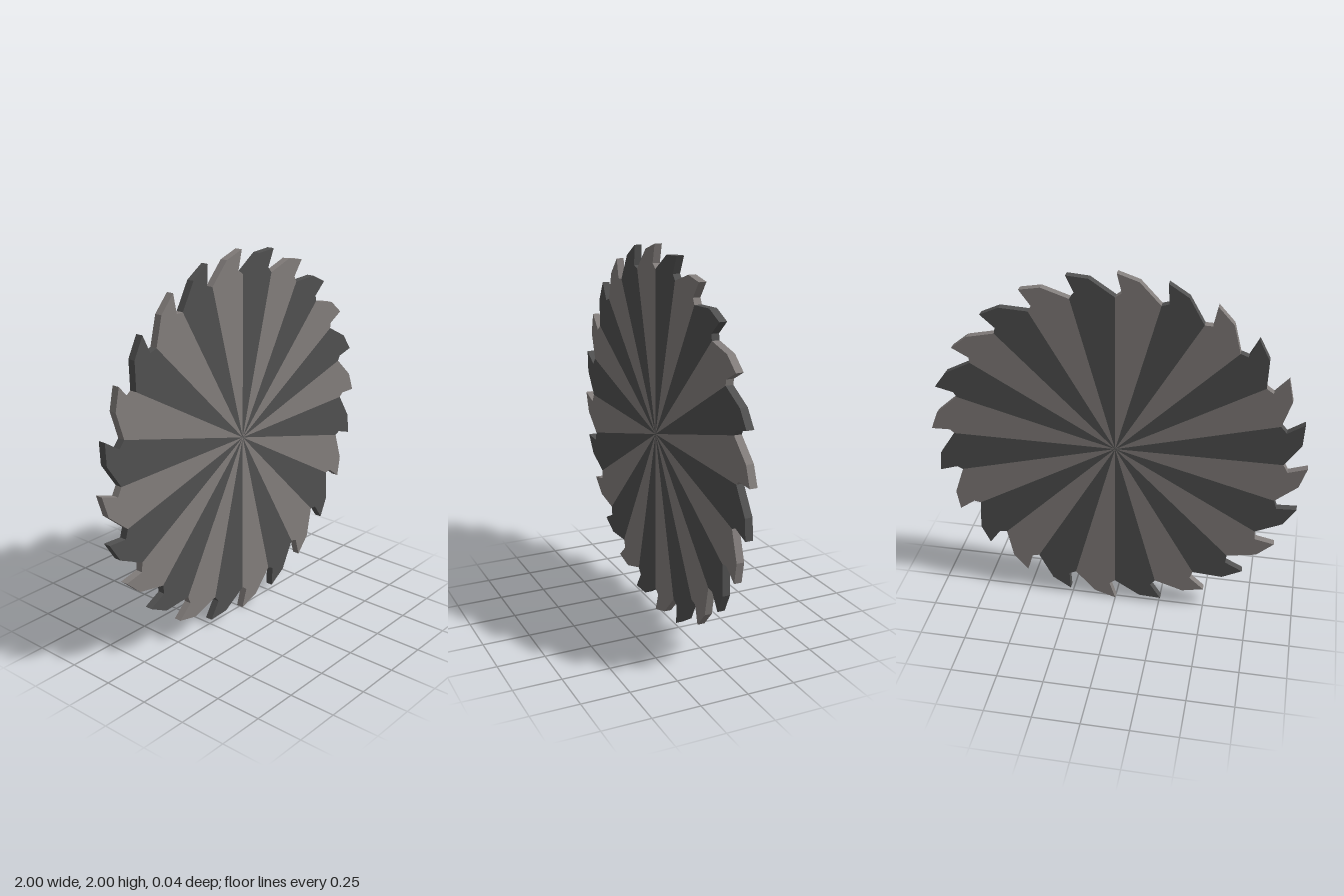
import * as THREE from 'three';

const TEETH = 24;
const HALF = 0.02; // half thickness of the blade
const STEP = (Math.PI * 2) / TEETH;
const HUB = new THREE.Vector2(0, 1.01);
const rad = THREE.MathUtils.degToRad;

// point at a radius and angle around the blade centre
const polar = (r, a) => new THREE.Vector2(r * Math.cos(a), 1 + r * Math.sin(a));

// root between two teeth
function root(i) {
  const a = i * STEP;
  const p = polar(0.875, a);
  p.y += 0.012 * Math.abs(Math.cos(a));
  return p;
}

// counter-clockwise outline of one wedge: hub, root, hooked tooth, next root
function wedgeOutline(i) {
  const a = i * STEP;
  const lean = rad(1.8) * Math.max(0, Math.cos(a - rad(15))); // slight unevenness of the tips
  return [
    HUB,
    root(i),
    polar(0.9, a + rad(2.1)),
    polar(1, a + lean),
    polar(0.97, a + rad(6.8) + lean * 0.6),
    root(i + 1),
  ];
}

// front face, back face and outer rim of one wedge
function addWedge(positions, i) {
  const pts = wedgeOutline(i);
  const put = (p, z) => positions.push(p.x, p.y, z);
  for (const [a, b, c] of THREE.ShapeUtils.triangulateShape(pts, [])) {
    for (const k of [a, b, c]) put(pts[k], HALF);
    for (const k of [a, c, b]) put(pts[k], -HALF);
  }
  for (let k = 1; k < pts.length - 1; k++) {
    const p = pts[k], q = pts[k + 1];
    put(p, HALF); put(p, -HALF); put(q, -HALF);
    put(p, HALF); put(q, -HALF); put(q, HALF);
  }
}

export function createModel() {
  const blade = new THREE.Group();
  blade.name = 'sawBlade';

  // alternating light and dark wedges
  [['lightWedges', 0x837e7c], ['darkWedges', 0x505050]].forEach(([name, color], parity) => {
    const positions = [];
    for (let i = parity; i < TEETH; i += 2) addWedge(positions, i);
    const geometry = new THREE.BufferGeometry();
    geometry.setAttribute('position', new THREE.Float32BufferAttribute(positions, 3));
    geometry.computeVertexNormals();
    const mesh = new THREE.Mesh(geometry, new THREE.MeshStandardMaterial({ color }));
    mesh.name = name;
    blade.add(mesh);
  });

  return blade;
}
